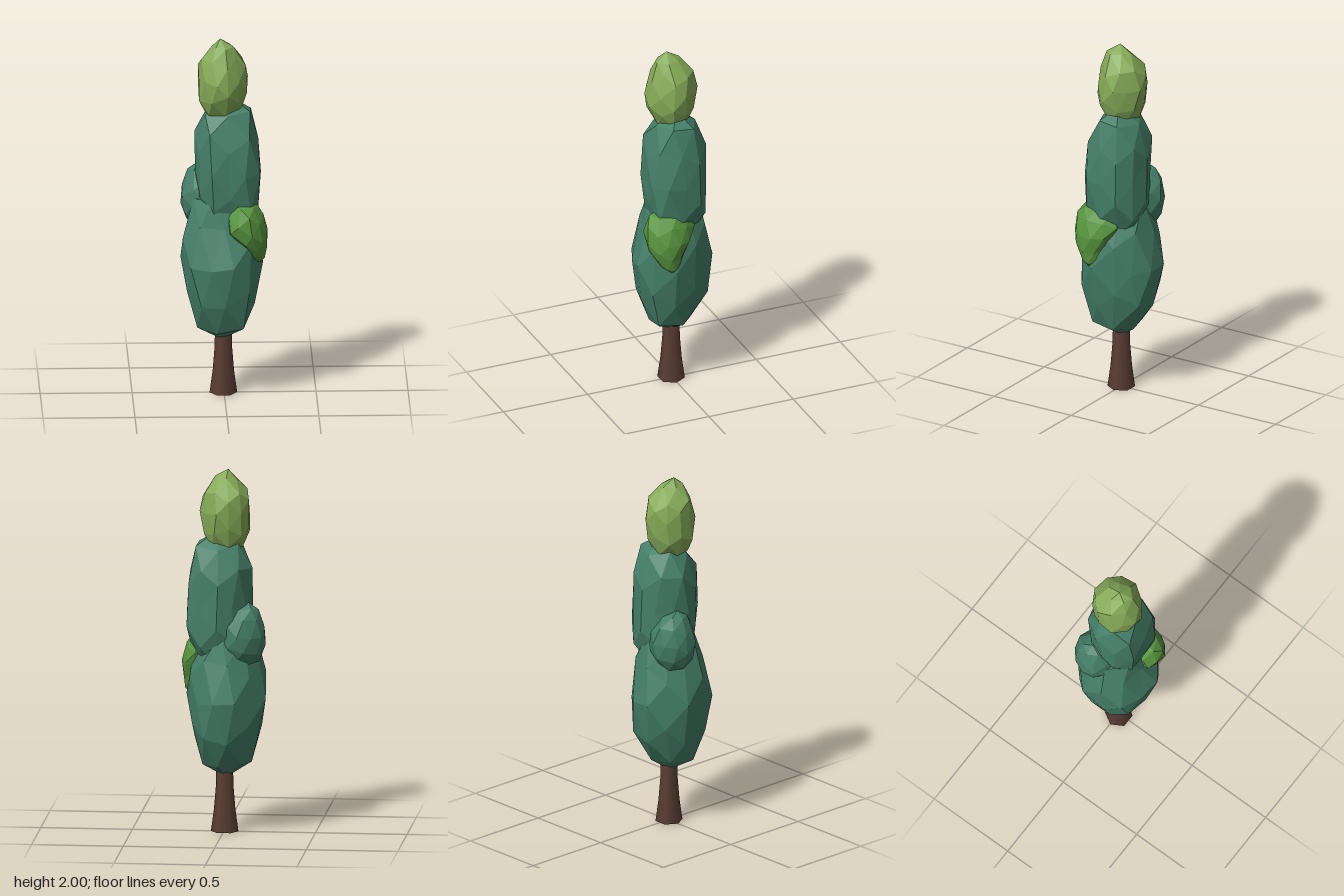
import * as THREE from 'three';

const mat = (name, color, flatShading = true) => {
  const m = new THREE.MeshStandardMaterial({ color, flatShading });
  m.name = name;
  return m;
};

// Extents [y, xMin, xMax, zMin, zMax] at a height, interpolated between sections
function extentsAt(sections, y) {
  let i = 1;
  while (i < sections.length - 1 && sections[i][0] < y) i++;
  const a = sections[i - 1], b = sections[i];
  const t = THREE.MathUtils.clamp((y - a[0]) / (b[0] - a[0]), 0, 1);
  return a.map((v, k) => v + (b[k] - v) * t);
}

// Plan outline: eight radius factors, from +x round through +z
function outlineAt(outline, x, z) {
  const a = (Math.atan2(z, x) / (Math.PI / 4) + 8) % 8;
  const i = Math.floor(a);
  return THREE.MathUtils.lerp(outline[i % 8], outline[(i + 1) % 8], a - i);
}

// Faceted leaf clump: a coarse icosphere moulded to the sections, slightly uneven
function clump(name, material, seed, outline, sections) {
  const geo = new THREE.IcosahedronGeometry(1, 1);
  geo.rotateY(seed * 1.3);
  const p = geo.attributes.position;
  const y0 = sections[0][0], y1 = sections[sections.length - 1][0];
  for (let i = 0; i < p.count; i++) {
    const x = p.getX(i), v = p.getY(i), z = p.getZ(i);
    const rho = Math.hypot(x, z);
    const wobble = 0.05 * Math.sin(5 * x + 3 * v + seed) * Math.cos(4 * z - 2 * v + seed * 2);
    const h = (y0 + y1) / 2 + (y1 - y0) / 2 * (v + wobble * rho);
    const [, xa, xb, za, zb] = extentsAt(sections, h);
    const k = rho > 1e-3 ? (1 + wobble) * outlineAt(outline, x, z) / rho : 0;
    p.setXYZ(i, (xa + xb) / 2 + (xb - xa) / 2 * x * k, h, (za + zb) / 2 + (zb - za) / 2 * z * k);
  }
  // Bring the clump to the full size of its sections
  const col = (k, f) => f(...sections.map((s) => s[k]));
  const want = new THREE.Box3(
    new THREE.Vector3(col(1, Math.min), y0, col(3, Math.min)),
    new THREE.Vector3(col(2, Math.max), y1, col(4, Math.max)));
  geo.computeBoundingBox();
  const have = geo.boundingBox.clone();
  const s = want.getSize(new THREE.Vector3()).divide(have.getSize(new THREE.Vector3()));
  const c0 = have.getCenter(new THREE.Vector3()), c1 = want.getCenter(new THREE.Vector3());
  geo.translate(-c0.x, -c0.y, -c0.z).scale(s.x, s.y, s.z).translate(c1.x, c1.y, c1.z);
  geo.computeVertexNormals();
  const mesh = new THREE.Mesh(geo, material);
  mesh.name = name;
  return mesh;
}

export function createModel() {
  const tree = new THREE.Group();
  tree.name = 'tree';
  const bark = mat('bark brown', 0x5d4037, false);
  const deep = mat('deep green', 0x457f69);
  const lime = mat('light green', 0x86ab58);
  const leaf = mat('leaf green', 0x58963f);

  // Six-sided trunk flaring at the foot
  const trunkGeo = new THREE.CylinderGeometry(1, 1, 0.37, 6, 3, false, Math.PI / 2);
  trunkGeo.translate(0, 0.185, 0);
  const tp = trunkGeo.attributes.position;
  for (let i = 0; i < tp.count; i++) {
    const y = tp.getY(i);
    const r = 0.045 + 0.03 * Math.pow(1 - y / 0.37, 2);
    tp.setXYZ(i, tp.getX(i) * r - 0.004, y, tp.getZ(i) * r + 0.003);
  }
  const trunk = new THREE.Mesh(trunkGeo, bark);
  trunk.name = 'trunk';
  tree.add(trunk);

  // Main foliage, stacked from the bottom up
  tree.add(clump('lowerFoliage', deep, 1, [0.97, 1.12, 0.92, 1.03, 1.02, 0.95, 1, 0.95], [
    [0.3, -0.08, 0.06, -0.05, 0.06],
    [0.36, -0.14, 0.13, -0.09, 0.13],
    [0.54, -0.2, 0.17, -0.2, 0.2],
    [0.77, -0.235, 0.21, -0.225, 0.225],
    [1.0, -0.2, 0.17, -0.17, 0.15],
    [1.12, -0.155, 0.1, -0.14, 0.13],
    [1.18, -0.1, 0.05, -0.08, 0.09]]));
  tree.add(clump('middleFoliage', deep, 2, [0.97, 1.1, 0.93, 1.04, 0.98, 0.95, 1, 1.06], [
    [0.85, -0.05, 0.07, -0.08, 0.06],
    [1.05, -0.14, 0.19, -0.18, 0.14],
    [1.28, -0.16, 0.2, -0.18, 0.165],
    [1.5, -0.16, 0.18, -0.18, 0.13],
    [1.61, -0.1, 0.14, -0.12, 0.08],
    [1.66, -0.04, 0.11, -0.08, 0.04]]));
  tree.add(clump('topFoliage', lime, 3, [1, 0.87, 1, 0.94, 0.98, 0.95, 1, 0.89], [
    [1.54, -0.06, 0.05, -0.06, 0.06],
    [1.61, -0.14, 0.11, -0.11, 0.1],
    [1.74, -0.14, 0.13, -0.14, 0.145],
    [1.88, -0.135, 0.11, -0.125, 0.1],
    [1.96, -0.06, 0.05, -0.05, 0.08],
    [2.0, -0.03, -0.01, -0.01, 0.04]]));

  // Side clumps
  const round = Array(8).fill(1);
  tree.add(clump('rightSideFoliage', deep, 4, round, [
    [0.92, -0.17, -0.06, -0.12, -0.02],
    [1.0, -0.22, 0, -0.18, 0.04],
    [1.1, -0.235, 0.03, -0.195, 0.06],
    [1.21, -0.21, -0.02, -0.17, 0.03],
    [1.28, -0.18, -0.11, -0.1, -0.04]]));
  tree.add(clump('leftSideFoliage', leaf, 5, [1, 0.94, 1, 1.04, 1, 1, 1, 1], [
    [0.75, 0.17, 0.215, 0.05, 0.11],
    [0.82, 0.12, 0.225, 0.02, 0.15],
    [0.9, 0.04, 0.235, -0.03, 0.2],
    [0.98, 0.01, 0.23, -0.07, 0.205],
    [1.07, 0.05, 0.19, -0.04, 0.18],
    [1.11, 0.08, 0.15, 0.01, 0.1]]));
  return tree;
}
